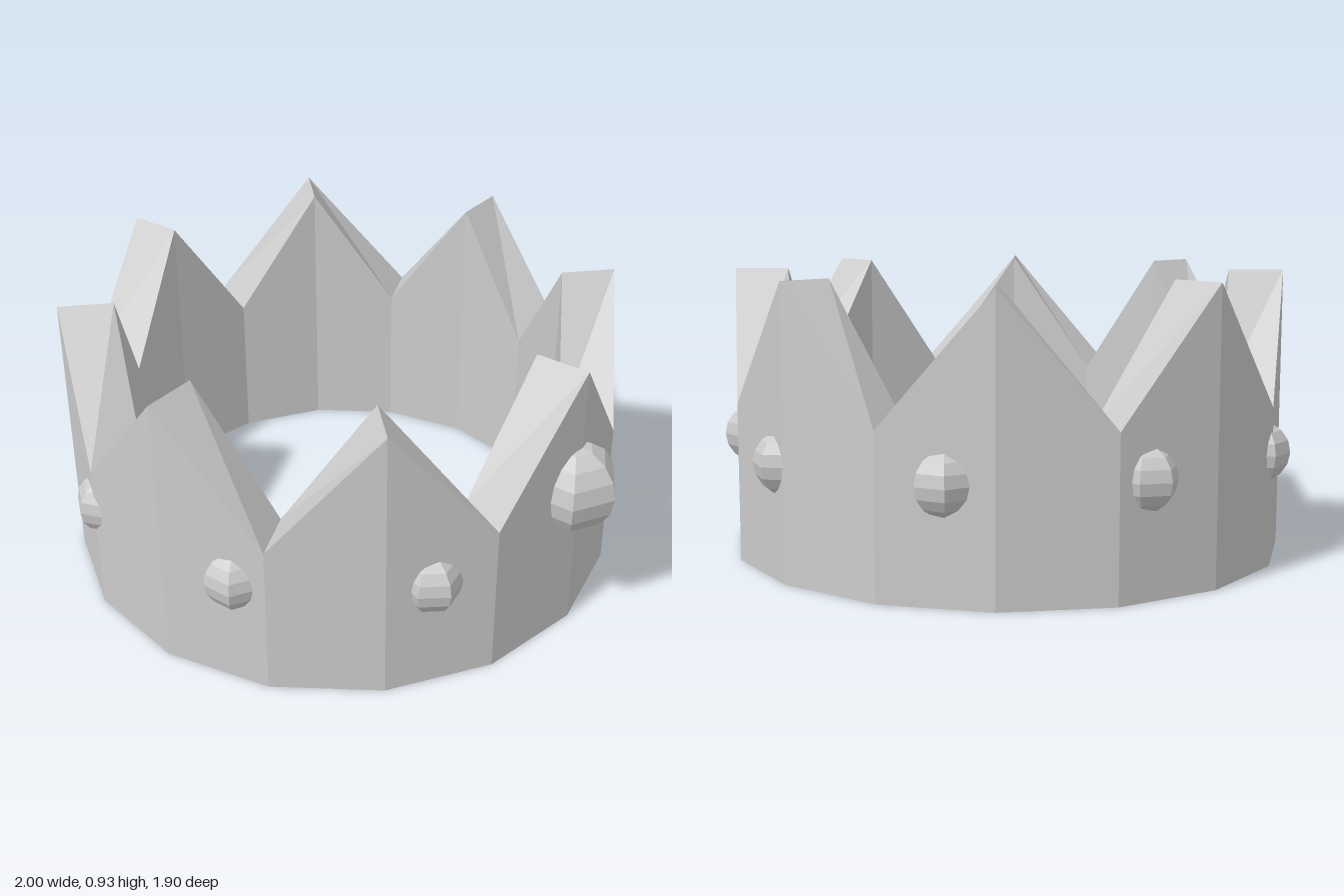
import * as THREE from 'three';

const SIDES = 16, OUTER = 0.926, INNER = 0.745, PEAK = 0.93, VALLEY = 0.515;
const CX = -0.055, CZ = 0.017; // the large gem shifts the band off centre

const material = new THREE.MeshStandardMaterial({ color: 0xcccccc, flatShading: true });

// Sixteen-sided band whose top edge alternates between peaks and valleys
function bandGeometry() {
  const positions = [];
  const point = (i, radius, y) => {
    const a = (i / SIDES) * Math.PI * 2;
    return [radius * Math.cos(a), y, radius * Math.sin(a)];
  };
  const quad = (a, b, c, d) => positions.push(...a, ...b, ...c, ...a, ...c, ...d);
  const column = (i) => {
    const top = i % 2 ? VALLEY : PEAK;
    return {
      outLow: point(i, OUTER, 0), outTop: point(i, OUTER, top),
      inLow: point(i, INNER, 0), inTop: point(i, INNER, top),
    };
  };
  for (let i = 0; i < SIDES; i++) {
    const p = column(i), q = column(i + 1);
    quad(p.outLow, p.outTop, q.outTop, q.outLow); // outer wall
    quad(p.inLow, q.inLow, q.inTop, p.inTop);     // inner wall
    quad(p.outTop, p.inTop, q.inTop, q.outTop);   // sloped top
    quad(p.outLow, q.outLow, q.inLow, p.inLow);   // underside
  }
  const geometry = new THREE.BufferGeometry();
  geometry.setAttribute('position', new THREE.Float32BufferAttribute(positions, 3));
  geometry.computeVertexNormals();
  return geometry;
}

// Faceted gem set into the band at an angle measured from +x towards +z
function gem(name, size, degrees, distance, y, twist) {
  const mesh = new THREE.Mesh(new THREE.SphereGeometry(size, 6, 8), material);
  const a = THREE.MathUtils.degToRad(degrees);
  mesh.position.set(distance * Math.cos(a), y, distance * Math.sin(a));
  mesh.rotation.y = -THREE.MathUtils.degToRad(degrees + twist);
  mesh.name = name;
  return mesh;
}

export function createModel() {
  const crown = new THREE.Group();
  crown.name = 'crown';

  const band = new THREE.Mesh(bandGeometry(), material);
  band.name = 'band';
  crown.add(band);

  // One large gem on a peak, eight small ones around the rest of the band
  crown.add(gem('largeGem', 0.15, 0, 0.903, 0.515, 0));
  for (let i = 0; i < 8; i++) {
    crown.add(gem(`smallGem${i + 1}`, 0.1, 35 + i * 40, 0.873, 0.363, -15));
  }

  crown.position.set(CX, 0, CZ);
  return crown;
}
